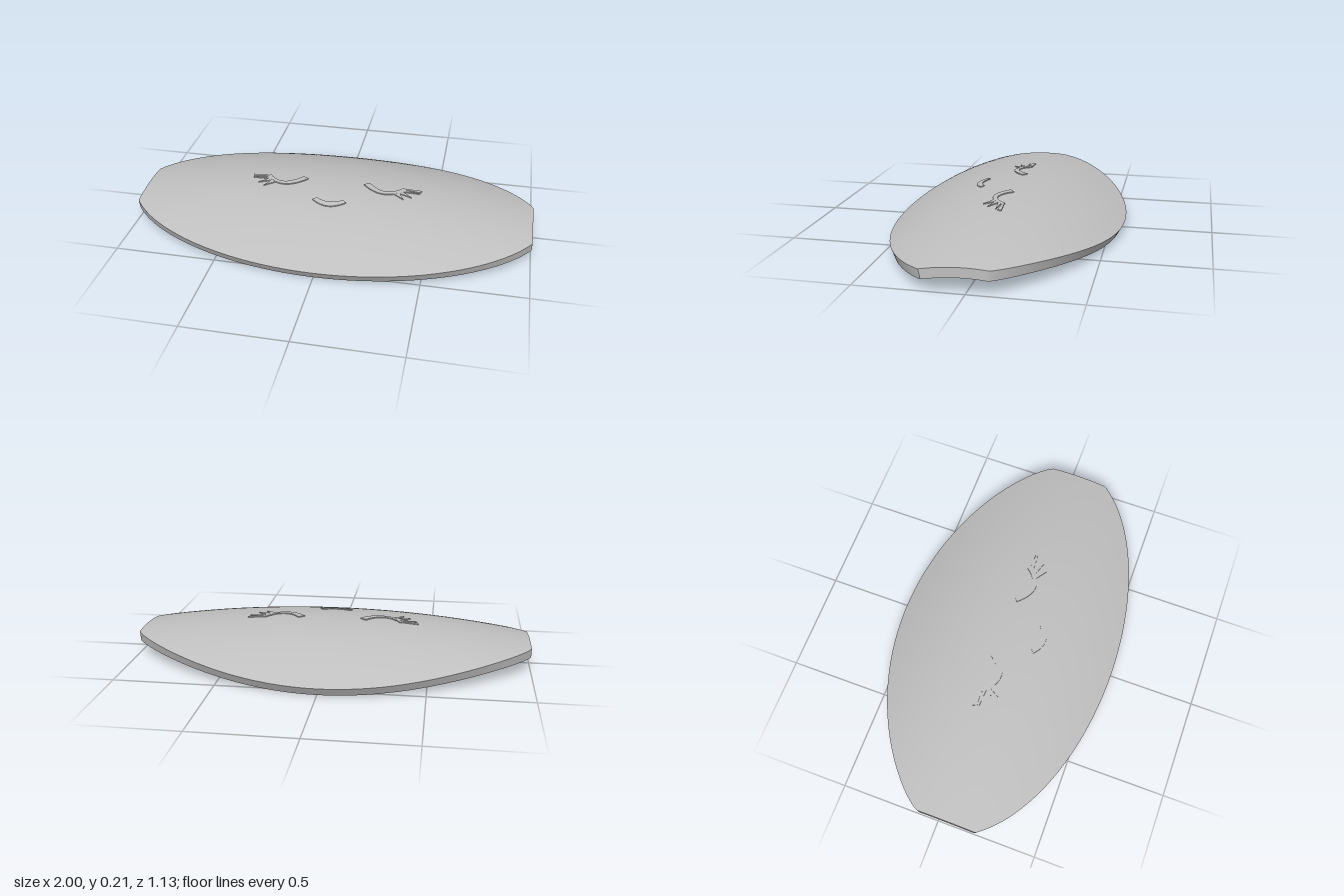
import * as THREE from 'three';

const THICK = 0.0462;

// Height of the domed top
const dome = (x, z) => 0.2 - 0.085 * x * x - 0.5 * z * z;
// Outline: elliptical front edge, flatter back edge, both cut flat at x = +-1
const frontZ = x => 0.565 * Math.sqrt(1 - 0.875 * x * x);
const backZ = x => -(0.1 + 0.47 * Math.pow(Math.max(0, 1 - x * x), 0.8));

// Point on the shell: across 0..1, front to back 0..1, depth 0 (top) to 1 (underside)
function shell(u, v, depth) {
  const x = Math.sin((u - 0.5) * Math.PI);
  const z = THREE.MathUtils.lerp(frontZ(x), backZ(x), v);
  const k = depth * THICK / Math.hypot(1, z);
  return [x, dome(x, z) - k, z - k * z];
}

// Smooth grid patch from a function of two parameters
function patch(f, nu, nv) {
  const pos = [], index = [];
  for (let j = 0; j <= nv; j++) {
    for (let i = 0; i <= nu; i++) pos.push(...f(i / nu, j / nv));
  }
  for (let j = 0; j < nv; j++) {
    for (let i = 0; i < nu; i++) {
      const a = j * (nu + 1) + i, c = a + nu + 1;
      index.push(a, a + 1, c, a + 1, c + 1, c);
    }
  }
  const g = new THREE.BufferGeometry();
  g.setAttribute('position', new THREE.Float32BufferAttribute(pos, 3));
  g.setIndex(index);
  g.computeVertexNormals();
  return g;
}

// Thin plate laid on the dome; the shape is drawn in x and -z
function inlay(shape) {
  const g = new THREE.ExtrudeGeometry(shape, { depth: 0.009, bevelEnabled: false, curveSegments: 20 });
  g.rotateX(-Math.PI / 2);
  const p = g.attributes.position;
  for (let i = 0; i < p.count; i++) {
    p.setY(i, dome(p.getX(i), p.getZ(i)) + p.getY(i) - 0.004);
  }
  g.computeVertexNormals();
  return g;
}

export function createModel() {
  const group = new THREE.Group();
  const grey = new THREE.MeshStandardMaterial({ color: 0xbfbfbf });
  grey.name = 'grey';
  const add = (name, geometry, parent = group) => {
    const m = new THREE.Mesh(geometry, grey);
    m.name = name;
    parent.add(m);
  };

  // Curved shell
  const body = new THREE.Group();
  body.name = 'shell';
  group.add(body);
  add('top', patch((u, v) => shell(u, v, 0), 72, 32), body);
  add('underside', patch((u, v) => shell(u, 1 - v, 1), 72, 32), body);
  add('frontRim', patch((u, v) => shell(u, 0, 1 - v), 72, 1), body);
  add('backRim', patch((u, v) => shell(1 - u, 1, 1 - v), 72, 1), body);
  add('leftEnd', patch((u, v) => shell(1, u, 1 - v), 24, 1), body);
  add('rightEnd', patch((u, v) => shell(0, 1 - u, 1 - v), 24, 1), body);

  // Closed eyes with lashes, mirrored
  const lashes = [
    [[0.335, -0.012], [0.365, -0.022], [0.44, -0.026], [0.434, -0.006]],
    [[0.335, 0.012], [0.355, -0.005], [0.432, 0.004]],
    [[0.32, 0.026], [0.345, 0.01], [0.395, 0.05]],
    [[0.30, 0.038], [0.33, 0.024], [0.36, 0.078]],
  ];
  for (const s of [1, -1]) {
    const eye = new THREE.Group();
    eye.name = s > 0 ? 'leftEye' : 'rightEye';
    group.add(eye);
    const lid = new THREE.Shape();
    lid.moveTo(s * 0.144, 0.01);
    lid.quadraticCurveTo(s * 0.26, -0.125, s * 0.37, 0.018);
    lid.lineTo(s * 0.345, 0.024);
    lid.quadraticCurveTo(s * 0.262, -0.088, s * 0.174, 0.03);
    lid.closePath();
    add('eyelid', inlay(lid), eye);
    for (const pts of lashes) {
      add('lash', inlay(new THREE.Shape(pts.map(([x, z]) => new THREE.Vector2(s * x, -z)))), eye);
    }
  }

  // Smiling mouth
  const mouth = new THREE.Shape();
  mouth.moveTo(-0.085, -0.162);
  mouth.quadraticCurveTo(0, -0.238, 0.085, -0.162);
  mouth.lineTo(0.066, -0.146);
  mouth.quadraticCurveTo(0, -0.192, -0.066, -0.146);
  mouth.closePath();
  add('mouth', inlay(mouth));

  return group;
}
